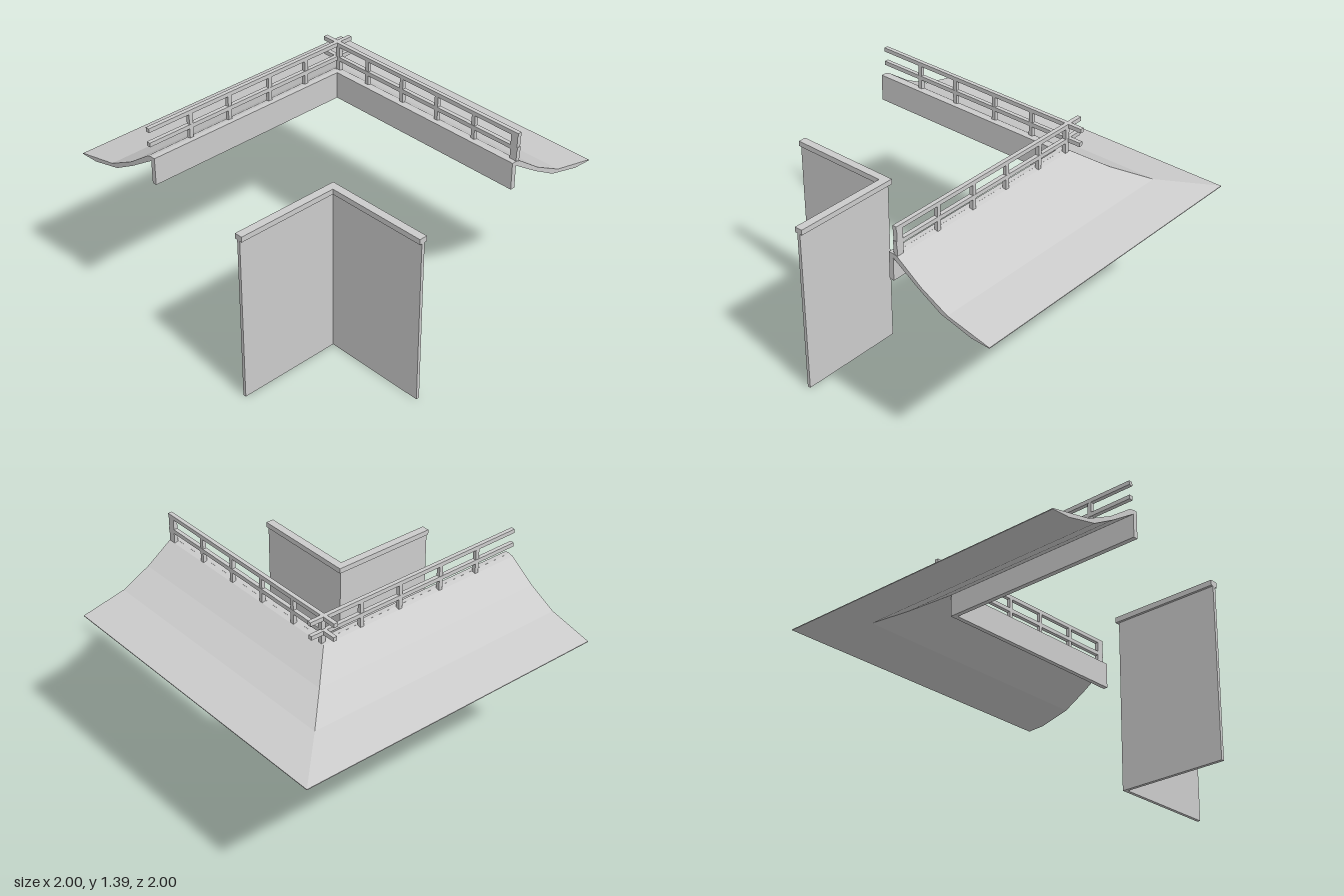
import * as THREE from 'three';

const material = new THREE.MeshStandardMaterial({ color: 0xcccccc, flatShading: true });

// Sweeps a counter-clockwise [offset, height] profile along an L with a mitred corner:
// from x = -1 at z = -offset to the corner, then along x = offset to z = 1.
function sweepCorner(name, profile) {
  const stations = [
    profile.map(([d, y]) => [-1, y, -d]),
    profile.map(([d, y]) => [d, y, -d]),
    profile.map(([d, y]) => [d, y, 1]),
  ];
  const positions = [];
  const tri = (a, b, c) => positions.push(...a, ...b, ...c);
  for (let s = 0; s < 2; s++) {
    const [from, to] = [stations[s], stations[s + 1]];
    profile.forEach((_, i) => {
      const j = (i + 1) % profile.length;
      tri(from[i], from[j], to[j]);
      tri(from[i], to[j], to[i]);
    });
  }
  // close both cut ends
  const contour = profile.map(([d, y]) => new THREE.Vector2(d, y));
  for (const [a, b, c] of THREE.ShapeUtils.triangulateShape(contour, [])) {
    tri(stations[2][a], stations[2][b], stations[2][c]);
    tri(stations[0][c], stations[0][b], stations[0][a]);
  }
  const geometry = new THREE.BufferGeometry();
  geometry.setAttribute('position', new THREE.Float32BufferAttribute(positions, 3));
  geometry.computeVertexNormals();
  const mesh = new THREE.Mesh(geometry, material);
  mesh.name = name;
  return mesh;
}

const rectangle = (d0, d1, y0, y1) => [[d0, y0], [d1, y0], [d1, y1], [d0, y1]];

// Box given by its minimum and maximum corners
function box(name, min, max) {
  const size = max.map((v, i) => v - min[i]);
  const mesh = new THREE.Mesh(new THREE.BoxGeometry(...size), material);
  mesh.position.set(...max.map((v, i) => (v + min[i]) / 2));
  mesh.name = name;
  return mesh;
}

export function createModel() {
  const model = new THREE.Group();
  model.name = 'corridorRoofCorner';

  // Inner corner wall with its overhanging coping
  model.add(sweepCorner('innerWall', rectangle(-0.345, -0.325, 0, 1.04)));
  model.add(sweepCorner('wallCoping', rectangle(-0.36, -0.31, 1.035, 1.068)));

  // Curved eave roof: underside outwards, then the top slope back up
  model.add(sweepCorner('eaveRoof', [
    [0.36, 1.195], [0.53, 1.085], [0.68, 1.0], [0.88, 0.95], [1, 0.945],
    [1, 0.95], [0.725, 1.01], [0.55, 1.1], [0.39, 1.213], [0.36, 1.22],
  ]));

  // Board behind the top of the roof
  model.add(sweepCorner('fasciaBoard', rectangle(0.333, 0.362, 1.055, 1.22)));

  // Railing: two crossing bars per wing
  const railing = new THREE.Group();
  railing.name = 'railing';
  const [near, far] = [0.364, 0.389];
  for (const [y0, y1, overrun] of [[1.365, 1.39, 0.475], [1.277, 1.302, 0.47]]) {
    railing.add(box('backRail', [-1, y0, -far], [overrun, y1, -near]));
    railing.add(box('sideRail', [near, y0, -overrun], [far, y1, 1]));
  }

  // Posts
  const half = 0.012;
  for (const x of [-0.717, -0.444, -0.15, 0.123]) {
    railing.add(box('backPost', [x - half, 1.2, -far + 0.001], [x + half, 1.37, -near - 0.001]));
  }
  for (const z of [0.685, 0.413, 0.147, -0.125]) {
    railing.add(box('sidePost', [near + 0.001, 1.2, z - half], [far - 0.001, 1.37, z + half]));
  }
  railing.add(box('cornerPost', [near, 1.2, -0.374], [far, 1.37, -0.346]));
  railing.add(box('endPost', [near, 1.2, 0.952], [far, 1.37, 0.997]));
  model.add(railing);

  return model;
}
